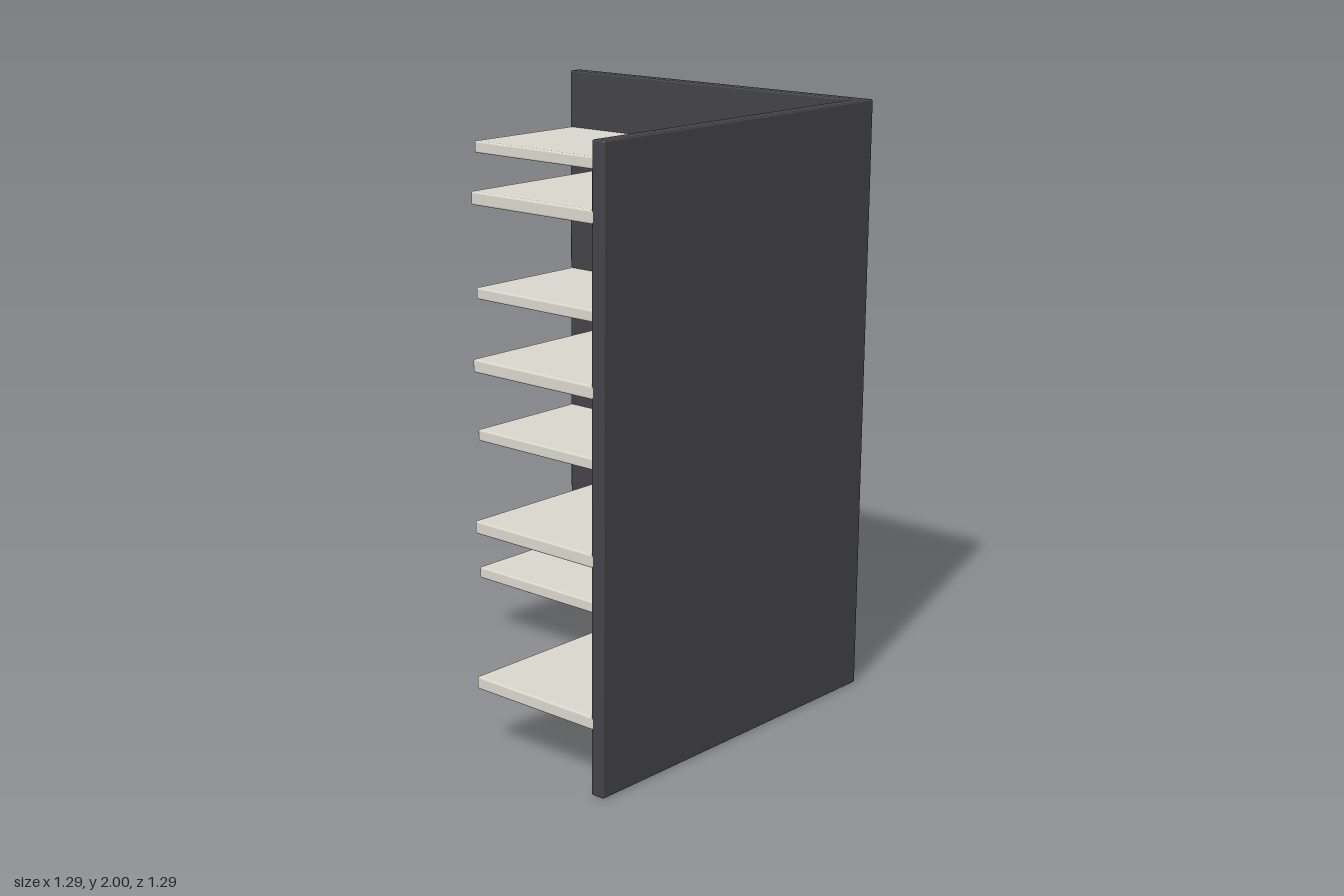
import * as THREE from 'three';
import { RoundedBoxGeometry } from 'three/addons/geometries/RoundedBoxGeometry.js';

export function createModel() {
  const group = new THREE.Group();
  group.name = 'cornerShelf';

  const panelMat = new THREE.MeshStandardMaterial({ color: 0x434247 });
  panelMat.name = 'charcoal';
  const shelfMat = new THREE.MeshStandardMaterial({ color: 0xd8d6cb });
  shelfMat.name = 'warmWhite';

  // Softly rounded board given by its bounds on each axis
  const board = (name, mat, [x0, x1], [y0, y1], [z0, z1], radius) => {
    const geo = new RoundedBoxGeometry(x1 - x0, y1 - y0, z1 - z0, 2, radius);
    const mesh = new THREE.Mesh(geo, mat);
    mesh.name = name;
    mesh.position.set((x0 + x1) / 2, (y0 + y1) / 2, (z0 + z1) / 2);
    group.add(mesh);
  };

  // Two upright panels meeting at the corner
  const half = 0.643;
  const inner = 0.594;
  board('backPanel', panelMat, [-half, half], [0, 2], [-half, -inner], 0.006);
  board('sidePanel', panelMat, [inner, half], [0, 2], [-half, half], 0.006);

  // Four L-shaped shelf levels, each made of two boards let into the panels
  for (let i = 0; i < 4; i++) {
    const y = 0.233 + i * 0.515;
    const span = [y - 0.021, y + 0.021];
    board('backShelf', shelfMat, [-half, 0.62], span, [-0.62, -0.109], 0.007);
    board('sideShelf', shelfMat, [0.105, 0.607], span, [-0.118, half], 0.007);
  }
  return group;
}
